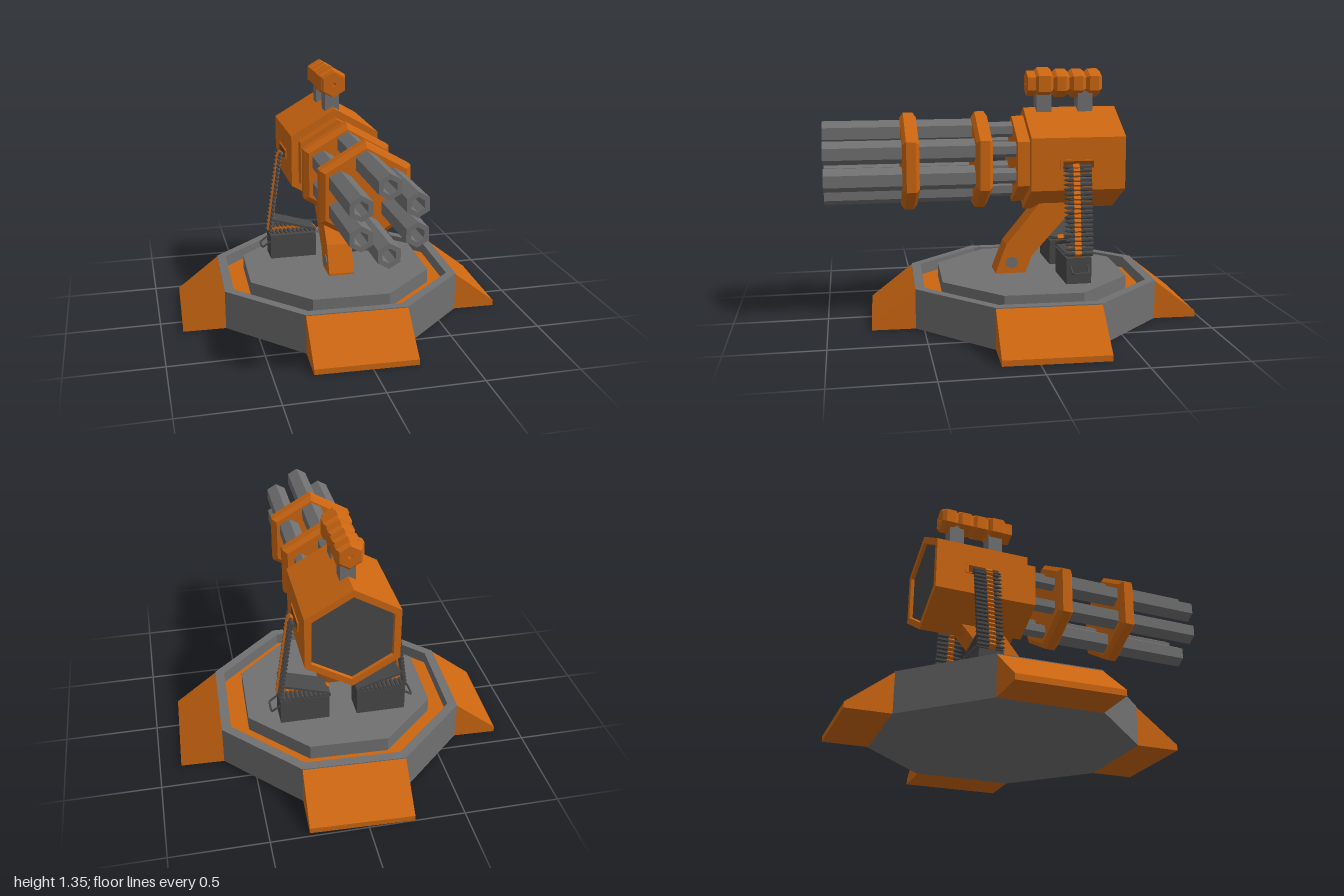
import * as THREE from 'three';

const paint = (color) => new THREE.MeshStandardMaterial({ color, flatShading: true });
const ORANGE = paint(0xcc6611), GREY = paint(0x707070), DARK = paint(0x484848), SLOT = paint(0x7a3c08);
const AXIS_Y = 0.855; // height of the gun axis

export function createModel() {
  const model = new THREE.Group();

  const add = (parent, name, geometry, material, x = 0, y = 0, z = 0) => {
    const mesh = new THREE.Mesh(geometry, material);
    mesh.name = name;
    mesh.position.set(x, y, z);
    parent.add(mesh);
    return mesh;
  };
  const group = (name, parent = model) => {
    const g = new THREE.Group();
    g.name = name;
    parent.add(g);
    return g;
  };
  const vec2 = (list) => list.map(([a, b]) => new THREE.Vector2(a, b));
  // eight-sided turning about y, profile as [radius, y]
  const octY = (profile) => new THREE.LatheGeometry(vec2(profile), 8, Math.PI / 8);
  // six-sided turning about z with a corner on top, profile as [radius, z] from back to front
  const hexZ = (profile) => new THREE.LatheGeometry(vec2(profile), 6).rotateX(Math.PI / 2);
  // side outline extruded symmetrically about its plane
  const slab = (outline, width) =>
    new THREE.ExtrudeGeometry(new THREE.Shape(vec2(outline)), { depth: width, bevelEnabled: false })
      .translate(0, 0, -width / 2);

  // Octagonal base, turned slightly
  const base = group('base');
  base.position.z = -0.113;
  base.rotation.y = -0.035;
  add(base, 'baseRim', octY([[0, 0], [0.7, 0], [0.7, 0.215], [0.646, 0.215], [0.646, 0.14]]), GREY);
  add(base, 'baseChannel', octY([[0.65, 0.15], [0, 0.15]]), ORANGE);
  add(base, 'basePlatform', octY([[0.54, 0.14], [0.54, 0.23], [0, 0.23]]), GREY);
  const footShape = slab([[0.64, 0], [0.877, 0], [0.877, 0.03], [0.647, 0.21], [0.64, 0.21]], 0.536);
  for (let i = 0; i < 4; i++) add(base, 'foot', footShape, ORANGE).rotation.y = i * Math.PI / 2;

  // Bent support arm with pivot bolts
  const arm = slab([[0.087, 0.225], [0.087, 0.24], [0.03, 0.39], [-0.155, 0.615], [-0.22, 0.7],
    [-0.4, 0.64], [-0.29, 0.52], [-0.11, 0.32], [-0.075, 0.225]], 0.14);
  add(model, 'supportArm', arm.rotateY(-Math.PI / 2), ORANGE);
  add(model, 'pivotBolt', new THREE.CylinderGeometry(0.034, 0.034, 0.15, 8).rotateZ(Math.PI / 2), GREY, 0, 0.29, 0);

  // Hexagonal housing with a front collar and a recessed back plate
  const gun = group('gun');
  gun.position.y = AXIS_Y;
  add(gun, 'housing', hexZ([[0.235, -0.565], [0.24, -0.585], [0.28, -0.585], [0.28, -0.075],
    [0.235, -0.075], [0.235, -0.01], [0, -0.01]]), ORANGE);
  add(gun, 'backPlate', hexZ([[0, -0.567], [0.237, -0.567]]), DARK);

  // Six hollow barrels with thinner rear necks
  const barrelShape = hexZ([[0.042, -0.03], [0.042, 0.15], [0.062, 0.15], [0.062, 1],
    [0.036, 1], [0.036, 0.85], [0, 0.85]]);
  for (const [x, y] of [[0, 0.162], [0.131, 0.071], [0.131, -0.071], [0, -0.162], [-0.131, -0.071], [-0.131, 0.071]])
    add(gun, 'barrel', barrelShape, GREY, x, y);

  // Clamp bands around the barrels
  const bandShape = hexZ([[0, -0.044], [0.235, -0.044], [0.263, -0.025], [0.263, 0.025], [0.235, 0.044], [0, 0.044]]);
  for (const z of [0.167, 0.55]) add(gun, 'barrelBand', bandShape, ORANGE, 0, 0, z);

  // Segmented sight with a fine bore, on two posts
  const sight = [[0.012, -0.5]];
  for (const z of [-0.5, -0.41, -0.32]) sight.push([0.06, z], [0.077, z + 0.02], [0.077, z + 0.07], [0.06, z + 0.09]);
  sight.push([0.072, -0.225], [0.085, -0.212], [0.085, -0.148], [0.072, -0.135], [0.068, -0.135],
    [0.068, -0.09], [0.012, -0.09], [0.012, -0.5]);
  add(model, 'sight', hexZ(sight), ORANGE, 0, 1.265);
  for (const z of [-0.182, -0.41]) add(model, 'sightPost', new THREE.BoxGeometry(0.08, 0.16, 0.082), GREY, 0, 1.15, z);

  // Ammunition box, belt and feed slot on each side
  const roundShape = hexZ([[0, -0.39], [0.011, -0.39], [0.011, -0.275], [0.007, -0.25], [0, -0.236]]);
  const linkShape = new THREE.CylinderGeometry(0.017, 0.017, 0.035, 4).rotateX(Math.PI / 2);
  for (const s of [1, -1]) {
    const feed = group(s > 0 ? 'leftFeed' : 'rightFeed');
    add(feed, 'ammoBox', new THREE.BoxGeometry(0.265, 0.145, 0.135), DARK, s * 0.2075, 0.2975, -0.313);
    add(feed, 'boxLid', new THREE.BoxGeometry(0.27, 0.012, 0.135), DARK, s * 0.205, 0.428, -0.313)
      .rotation.z = s * 0.29;

    const handle = new THREE.CatmullRomCurve3([[0.338, 0.33, -0.265], [0.385, 0.297, -0.27], [0.385, 0.297, -0.356],
      [0.338, 0.33, -0.361]].map(([x, y, z]) => new THREE.Vector3(s * x, y, z)), false, 'catmullrom', 0.1);
    add(feed, 'boxHandle', new THREE.TubeGeometry(handle, 18, 0.006, 5), DARK);

    add(feed, 'feedSlot', new THREE.BoxGeometry(0.02, 0.052, 0.195), ORANGE, s * 0.238, 0.853, -0.328);
    add(feed, 'feedOpening', new THREE.BoxGeometry(0.02, 0.036, 0.165), SLOT, s * 0.24, 0.853, -0.328);

    const belt = group('ammoBelt', feed);
    const path = new THREE.CurvePath();
    const stops = vec2([[0.245, 0.835], [0.272, 0.845], [0.338, 0.385], [0.08, 0.385]]);
    for (let i = 0; i < 3; i++) path.add(new THREE.LineCurve(stops[i], stops[i + 1]));
    for (const p of path.getSpacedPoints(31)) {
      add(belt, 'round', roundShape, DARK, s * p.x, p.y);
      add(belt, 'beltLink', linkShape, ORANGE, s * p.x, p.y, -0.308);
    }
  }
  return model;
}
